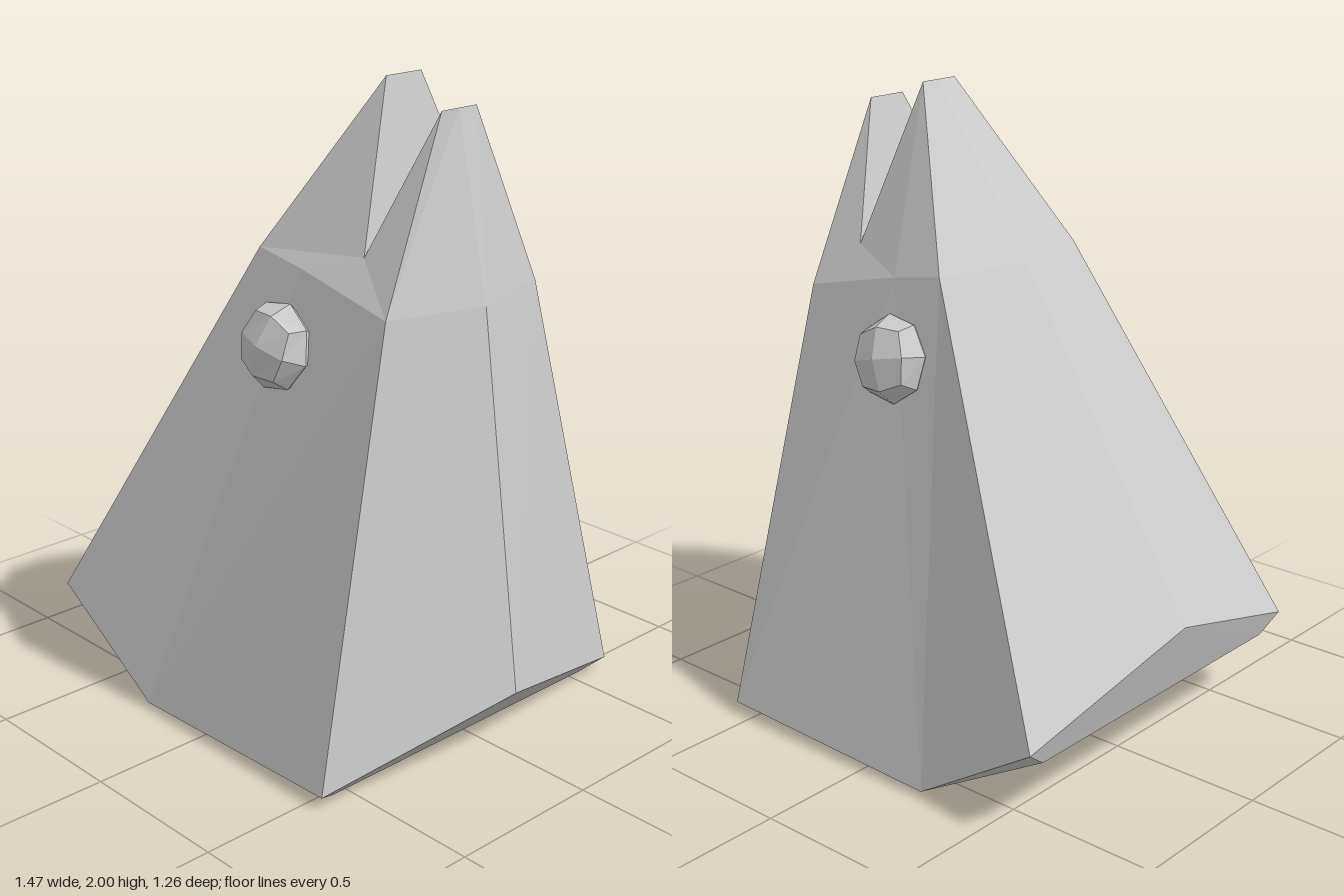
import * as THREE from 'three';

const material = new THREE.MeshStandardMaterial({ color: 0xcccccc, flatShading: true });

// Corner points of the +z half of the head; z = 0 points lie on the centre line.
const P = {
  // notched tip
  tipL: [0.23, 2, 0.07], tipLMid: [0.23, 2, 0],
  tipR: [0.45, 1.93, 0.07], tipRMid: [0.45, 1.93, 0],
  notch: [0.33, 1.52, 0.25], notchMid: [0.33, 1.52, 0],
  // shoulder
  ridgeL: [-0.12, 1.49, 0], shoulderL: [-0.05, 1.49, 0.31],
  shoulderM: [0.13, 1.46, 0.31], shoulderR: [0.48, 1.38, 0.31], ridgeR: [0.57, 1.38, 0],
  // wide lower rim
  rimLMid: [-0.74, 0.48, 0], rimL: [-0.67, 0.29, 0.63], rimM: [-0.25, 0.02, 0.63],
  rimR: [0.56, 0.04, 0.63], rimRMid: [0.73, 0.21, 0],
  // inset underside
  baseL: [-0.65, 0.23, 0.55], baseLMid: [-0.65, 0.23, 0],
  baseM: [-0.2, 0.01, 0.55], baseMMid: [-0.2, 0.01, 0],
  baseR: [0.52, 0, 0.55], baseRMid: [0.52, 0, 0],
};

// Faces of the +z half, counter-clockwise from outside.
const FACES = [
  'rimL rimM shoulderM shoulderL', 'rimM rimR shoulderR shoulderM',
  'shoulderL shoulderM notch tipL', 'shoulderM shoulderR notch', 'shoulderR tipR notch',
  'rimLMid rimL shoulderL ridgeL', 'ridgeL shoulderL tipL tipLMid',
  'rimR rimRMid ridgeR shoulderR', 'shoulderR ridgeR tipRMid tipR',
  'tipL notch notchMid tipLMid', 'notchMid notch tipR tipRMid',
  'rimLMid baseLMid baseL rimL', 'rimRMid rimR baseR baseRMid',
  'rimL baseL baseM rimM', 'rimM baseM baseR rimR',
  'baseLMid baseMMid baseM baseL', 'baseMMid baseRMid baseR baseM',
];

function headGeometry() {
  const positions = [];
  for (const side of [1, -1]) {
    for (const face of FACES) {
      const corners = face.split(' ').map((n) => [P[n][0], P[n][1], P[n][2] * side]);
      if (side < 0) corners.reverse();
      for (let i = 1; i < corners.length - 1; i++) {
        positions.push(...corners[0], ...corners[i], ...corners[i + 1]);
      }
    }
  }
  const geometry = new THREE.BufferGeometry();
  geometry.setAttribute('position', new THREE.Float32BufferAttribute(positions, 3));
  geometry.computeVertexNormals();
  return geometry;
}

// Faceted ball: a cube with 2 x 2 squares per side, pushed out to a sphere.
function eyeGeometry() {
  const geometry = new THREE.BoxGeometry(2, 2, 2, 2, 2, 2);
  const pos = geometry.attributes.position;
  const v = new THREE.Vector3();
  for (let i = 0; i < pos.count; i++) {
    v.fromBufferAttribute(pos, i).normalize();
    pos.setXYZ(i, v.x, v.y, v.z);
  }
  geometry.rotateZ(-0.23);
  geometry.scale(0.135, 0.135, 0.085);
  geometry.computeVertexNormals();
  return geometry;
}

export function createModel() {
  const model = new THREE.Group();
  model.name = 'notchedHead';

  const head = new THREE.Mesh(headGeometry(), material);
  head.name = 'head';
  model.add(head);

  // One eye on each sloping side, leaning with the surface
  const eyeShape = eyeGeometry();
  for (const side of [1, -1]) {
    const eye = new THREE.Mesh(eyeShape, material);
    eye.name = side > 0 ? 'frontEye' : 'backEye';
    eye.position.set(0.09, 1.23, 0.37 * side);
    eye.rotation.x = -0.2 * side;
    model.add(eye);
  }
  return model;
}
